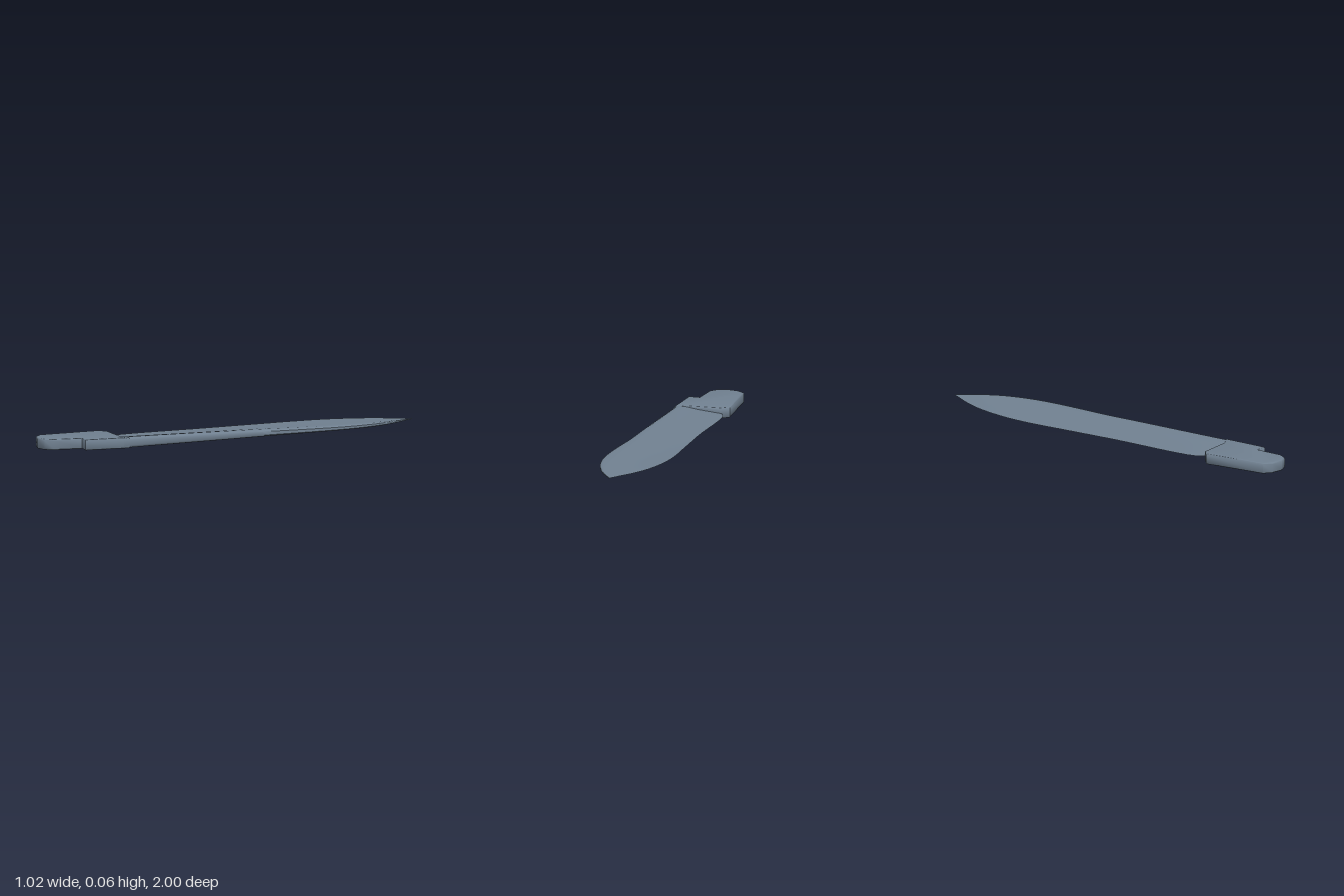
import * as THREE from 'three';
import { toCreasedNormals } from 'three/addons/utils/BufferGeometryUtils.js';

const steel = new THREE.MeshStandardMaterial({ color: 0x708090 });

// Smooth curve through [x, z] points on the ground plane
const planCurve = (pts) => new THREE.CatmullRomCurve3(pts.map(([x, z]) => new THREE.Vector3(x, 0, z)));

// Blade: loft of hollow-ground wedge sections between spine and cutting edge
function bladeGeometry() {
  const spine = planCurve([[-0.1, 0.65], [-0.087, 0.62], [0.15, 0.12], [0.262, -0.12], [0.33, -0.25],
    [0.40, -0.39], [0.455, -0.52], [0.49, -0.64], [0.508, -0.76], [0.507, -0.88], [0.491, -0.999]]);
  const edge = planCurve([[-0.325, 0.56], [-0.345, 0.505], [-0.14, 0], [-0.02, -0.3], [0.06, -0.5],
    [0.13, -0.64], [0.20, -0.745], [0.28, -0.84], [0.36, -0.91], [0.43, -0.96], [0.489, -1]]);

  // Half thickness against distance from the spine (0) to the edge (1)
  const profile = [[0, 0.5], [0.015, 0.8], [0.05, 0.97], [0.1, 1], [0.2, 0.9],
    [0.35, 0.68], [0.55, 0.42], [0.78, 0.2], [1, 0]];
  const ring = [
    ...profile.map(([u, h]) => [u, h]),
    ...profile.slice(0, -1).reverse().map(([u, h]) => [u, -h]),
  ];
  const n = ring.length, steps = 60;
  const positions = [], index = [];

  for (let i = 0; i <= steps; i++) {
    const s = spine.getPoint(i / steps), e = edge.getPoint(i / steps);
    // The underside rises toward the tip, the top stays nearly level
    const bottom = 0.037 * THREE.MathUtils.clamp((s.x + 0.1) / 0.61, 0, 1);
    const tip = THREE.MathUtils.smoothstep(i / steps, 0.6, 1);
    const top = 0.06 - 0.005 * tip;
    const half = (top - bottom) / 2 * (1 - 0.75 * tip ** 3);
    const mid = (top + bottom) / 2 + 0.004 * tip;
    for (const [u, h] of ring) {
      const p = s.clone().lerp(e, u);
      positions.push(p.x, mid + half * h, p.z);
    }
  }
  for (let i = 0; i < steps; i++) {
    for (let j = 0; j < n; j++) {
      const a = i * n + j, c = i * n + (j + 1) % n;
      index.push(a, a + n, c, c, a + n, c + n);
    }
  }
  // End caps
  const last = steps * n;
  for (let j = 1; j < n - 1; j++) {
    index.push(0, j, j + 1, last, last + j + 1, last + j);
  }
  const geo = new THREE.BufferGeometry();
  geo.setAttribute('position', new THREE.Float32BufferAttribute(positions, 3));
  geo.setIndex(index);
  return toCreasedNormals(geo, 0.7);
}

// Tang and heel: flat slab with eased edges and a rounded butt
function tangGeometry() {
  const outline = [[-0.39, 0.56], [-0.335, 0.545], [-0.16, 0.62], [-0.087, 0.62], [-0.2, 0.855],
    [-0.255, 0.825], [-0.33, 0.97], [-0.375, 0.998], [-0.435, 0.992], [-0.49, 0.95], [-0.513, 0.9]];
  const shape = new THREE.Shape(outline.map(([x, z]) => new THREE.Vector2(x, -z)));
  const bevel = 0.008;
  const geo = new THREE.ExtrudeGeometry(shape, {
    depth: 0.06 - 2 * bevel, bevelEnabled: true, bevelThickness: bevel,
    bevelSize: bevel, bevelOffset: -bevel, bevelSegments: 3,
  });
  geo.rotateX(-Math.PI / 2).translate(0, bevel, 0);
  return toCreasedNormals(geo, 0.8);
}

export function createModel() {
  const group = new THREE.Group();
  group.name = 'knifeBlade';
  const parts = { blade: bladeGeometry(), tang: tangGeometry() };
  for (const [name, geometry] of Object.entries(parts)) {
    const mesh = new THREE.Mesh(geometry, steel);
    mesh.name = name;
    group.add(mesh);
  }
  return group;
}
